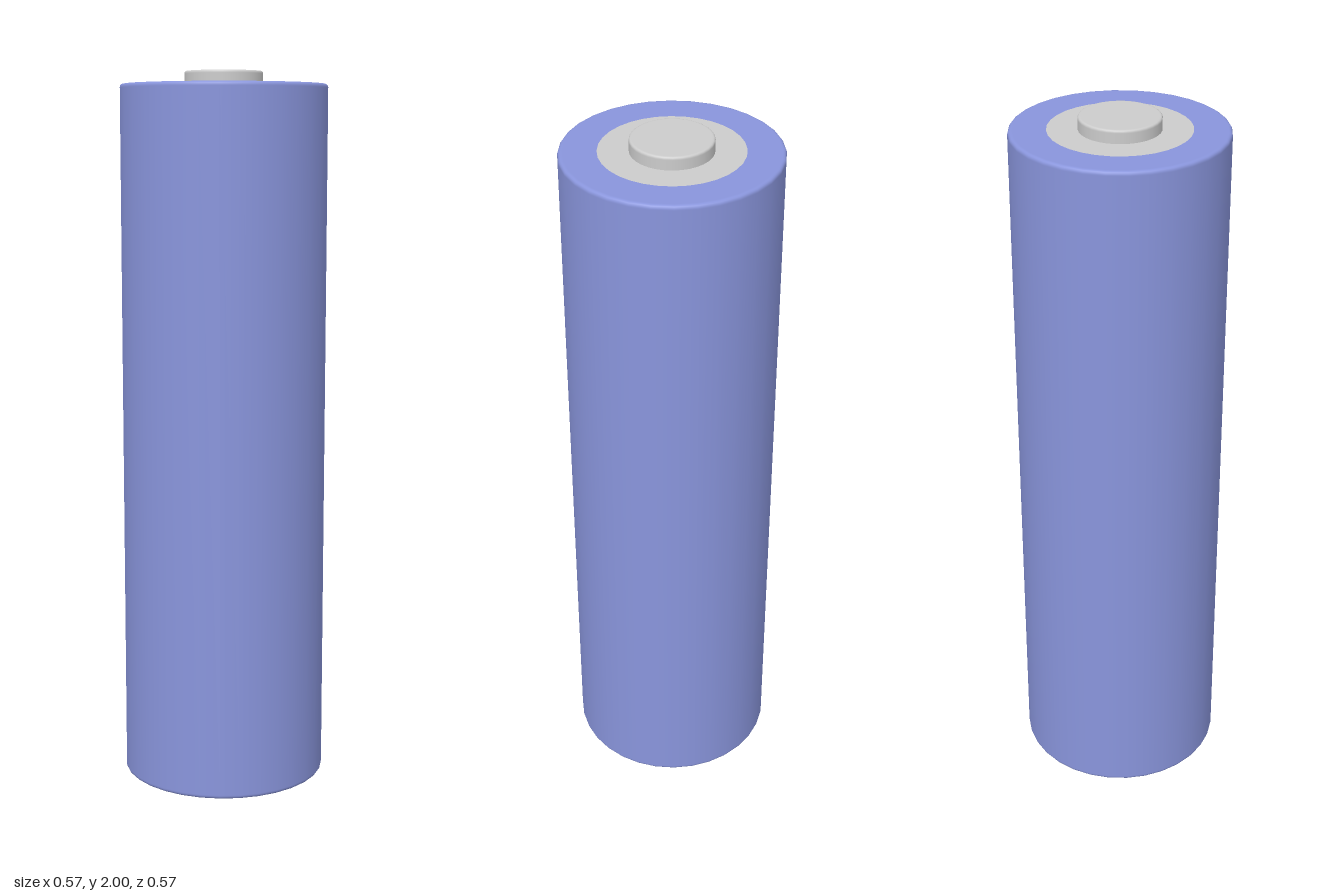
import * as THREE from 'three';

const SIDES = 32;

// Turns a [radius, height] profile, listed from bottom to top, around y.
function turned(name, profile, material) {
  const points = profile.map(([r, y]) => new THREE.Vector2(r, y));
  const mesh = new THREE.Mesh(new THREE.LatheGeometry(points, SIDES), material);
  mesh.name = name;
  return mesh;
}

// Rounded outer edge between two flat faces; extra points hold the faces flat.
function roundedEdge(radius, y, bevel, top) {
  const pts = [];
  for (let i = 0; i <= 4; i++) {
    const a = (i / 4) * Math.PI / 2;
    pts.push([radius - bevel + bevel * Math.cos(a), y - bevel + bevel * Math.sin(a)]);
  }
  pts.unshift([radius, y - bevel * 1.3]);
  pts.push([radius - bevel * 1.3, y]);
  return top ? pts : pts.map(([r, h]) => [r, 2 * y - h]).reverse();
}

export function createModel() {
  const model = new THREE.Group();
  model.name = 'battery';
  const blue = new THREE.MeshStandardMaterial({ color: 0x8995dc });
  const grey = new THREE.MeshStandardMaterial({ color: 0xcccccc });

  const R = 0.286, DISC = 0.188, BOTTOM = 0.01, TOP = 1.965;

  // Wrapped casing, with its two end rims
  model.add(turned('casing', [
    [DISC, BOTTOM],
    ...roundedEdge(R, BOTTOM, 0.009, false),
    ...roundedEdge(R, TOP, 0.009, true),
    [DISC, TOP],
  ], blue));

  // Positive end: flush plate and raised button
  model.add(turned('positivePlate', [[DISC, TOP], [0, TOP]], grey));
  model.add(turned('positiveButton', [
    [0.108, TOP],
    ...roundedEdge(0.108, 2, 0.006, true),
    [0, 2],
  ], grey));

  // Negative end: flush plate with a shallow pressed contact
  model.add(turned('negativePlate', [[0, BOTTOM], [DISC, BOTTOM]], grey));
  model.add(turned('negativeContact', [
    [0, 0], [0.112, 0], [0.122, 0.001], [0.132, 0.005], [0.139, BOTTOM],
  ], grey));

  return model;
}
